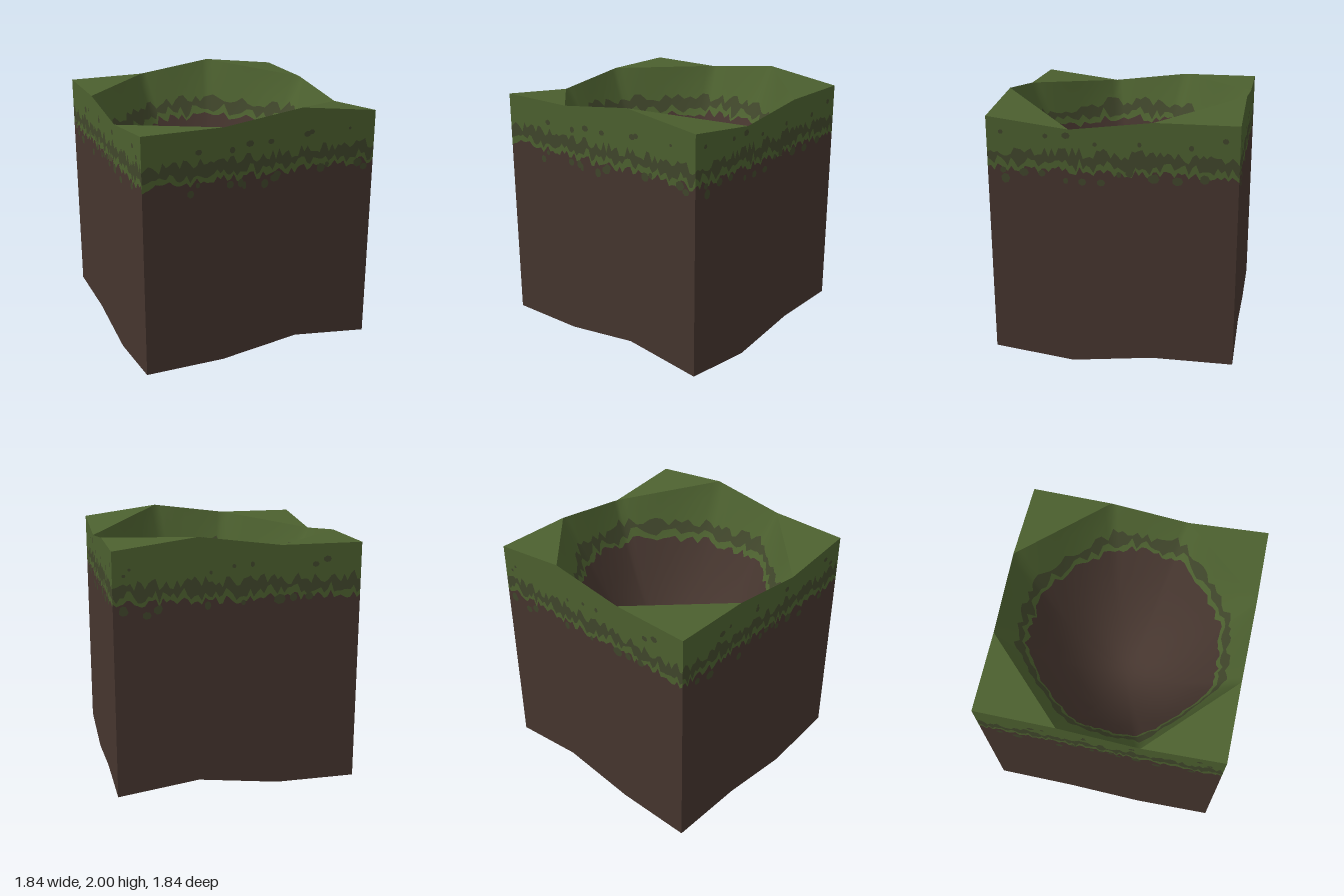
import * as THREE from 'three';

const H = 0.92, Q = H / 3, THICK = 1.84, FLOOR = 0.8;
const mat = (name, color) => Object.assign(new THREE.MeshStandardMaterial({ color }), { name });

// Rim heights along each side: front, right, back, left (counterclockwise from above)
const RIM = [
  [1.92, 1.92, 2.0, 1.92],
  [1.92, 1.845, 1.92, 1.92],
  [1.92, 2.0, 1.92, 1.92],
  [1.92, 1.92, 1.845, 1.92],
];

let seed = 7;
const rand = () => (seed = (seed * 16807) % 2147483647) / 2147483647;

// Point on the outer rim; s runs 0..3 along one side
function rimPoint(side, s) {
  const k = Math.min(2, Math.floor(s));
  const y = THREE.MathUtils.lerp(RIM[side][k], RIM[side][k + 1], s - k);
  return new THREE.Vector3(-H + s * 2 * Q, y, H).applyAxisAngle(new THREE.Vector3(0, 1, 0), side * Math.PI / 2);
}

// Ragged heights where soil, grass patches, mixed turf and grass meet
function raggedEdges() {
  const low = 1.54 + (rand() - 0.5) * 0.07;
  const mid = low + 0.02 + rand() * 0.05;
  return [low, mid, Math.max(mid + 0.02, 1.675 + (rand() - 0.5) * 0.09)];
}

// Surface from columns of points, each row of faces taking one material
function strips(columns, rowMaterials, materials, closed) {
  const n = columns.length, rows = columns[0].length;
  const geo = new THREE.BufferGeometry().setFromPoints(columns.flat());
  const index = [];
  for (let j = 0; j < rows - 1; j++) {
    const start = index.length;
    for (let i = 0; i < (closed ? n : n - 1); i++) {
      const a = i * rows + j, b = ((i + 1) % n) * rows + j;
      index.push(a, b, b + 1, a, b + 1, a + 1);
    }
    geo.addGroup(start, index.length - start, rowMaterials[j]);
  }
  geo.setIndex(index);
  geo.computeVertexNormals();
  return new THREE.Mesh(geo, materials);
}

function flatMesh(points, material) {
  const geo = new THREE.BufferGeometry().setFromPoints(points);
  geo.computeVertexNormals();
  return new THREE.Mesh(geo, material);
}

export function createModel() {
  const group = new THREE.Group();
  const soil = mat('soil', 0x45352e), grass = mat('grass', 0x4c602f), turf = mat('mixedTurf', 0x40462b);
  const materials = [soil, grass, turf];
  const add = (mesh, name) => { mesh.name = name; group.add(mesh); };
  const names = ['front', 'right', 'back', 'left'];

  // Outer walls with layered, ragged turf
  const COLS = 72;
  for (let side = 0; side < 4; side++) {
    const columns = [];
    for (let i = 0; i <= COLS; i++) {
      const top = rimPoint(side, i / COLS * 3);
      columns.push([top.y - THICK, ...raggedEdges(), top.y].map(y => new THREE.Vector3(top.x, y, top.z)));
    }
    add(strips(columns, [0, 1, 2, 1], materials), names[side] + 'Wall');

    // Loose turf patches: larger ones in the soil, small ones in the grass
    const patches = new THREE.Group();
    for (let i = 0; i < 20; i++) {
      const inSoil = i < 13, r = inSoil ? 0.018 + rand() * 0.02 : 0.01 + rand() * 0.015;
      const patch = new THREE.Mesh(new THREE.CircleGeometry(r, 7), turf);
      patch.position.set((rand() - 0.5) * 1.7, inSoil ? 1.45 + rand() * 0.1 : 1.74 + rand() * 0.08, H + 0.002);
      patch.scale.x = 0.7 + rand() * 0.6;
      patches.add(patch);
    }
    patches.rotation.y = side * Math.PI / 2;
    add(patches, names[side] + 'TurfPatches');
  }

  // Flat grass triangles at the four corners
  for (let side = 0; side < 4; side++) {
    add(flatMesh([rimPoint(side, 2), rimPoint(side, 3), rimPoint((side + 1) % 4, 1)], grass), 'cornerTop');
  }

  // Hollow: octagonal rim easing into a round bowl
  const rim = [], STEPS = 14;
  for (let side = 0; side < 4; side++) {
    const a = rimPoint(side, 1), b = rimPoint(side, 2), c = rimPoint((side + 1) % 4, 1);
    for (let i = 0; i < STEPS; i++) rim.push(a.clone().lerp(b, i / STEPS));
    for (let i = 0; i < STEPS; i++) rim.push(b.clone().lerp(c, i / STEPS));
  }
  const columns = rim.map(p => {
    const k = H / Math.hypot(p.x, p.z);
    const edges = raggedEdges().reverse().map(y => Math.sqrt((y - FLOOR) / (p.y - FLOOR)));
    return [1, 0.95, ...edges, 0.7, 0.58, 0.45, 0.32, 0.2, 0.1, 0].map(t => {
      const f = t * THREE.MathUtils.lerp(k, 1, t ** 4);
      return new THREE.Vector3(p.x * f, FLOOR + (p.y - FLOOR) * t * t, p.z * f);
    });
  });
  const bowl = strips(columns, [1, 1, 2, 1, 0, 0, 0, 0, 0, 0, 0], materials, true);
  const rows = columns[0].length;
  for (let i = 1; i <= columns.length; i++) bowl.geometry.attributes.normal.setXYZ(i * rows - 1, 0, 1, 0);
  add(bowl, 'bowl');

  // Underside: wavy edge around a level middle
  const down = p => p.clone().setY(p.y - THICK);
  const inner = side => {
    const p = new THREE.Vector3(Q, 0.08, Q);
    return p.applyAxisAngle(new THREE.Vector3(0, 1, 0), side * Math.PI / 2);
  };
  const under = [];
  const quad = (a, b, c, d) => under.push(a, c, b, a, d, c);
  for (let side = 0; side < 4; side++) {
    const e1 = down(rimPoint(side, 1)), e2 = down(rimPoint(side, 2)), corner = down(rimPoint(side, 3));
    const next = down(rimPoint((side + 1) % 4, 1));
    quad(e1, e2, inner(side), inner((side + 3) % 4));
    quad(e2, corner, next, inner(side));
  }
  quad(inner(0), inner(1), inner(2), inner(3));
  add(flatMesh(under, soil), 'underside');

  return group;
}
